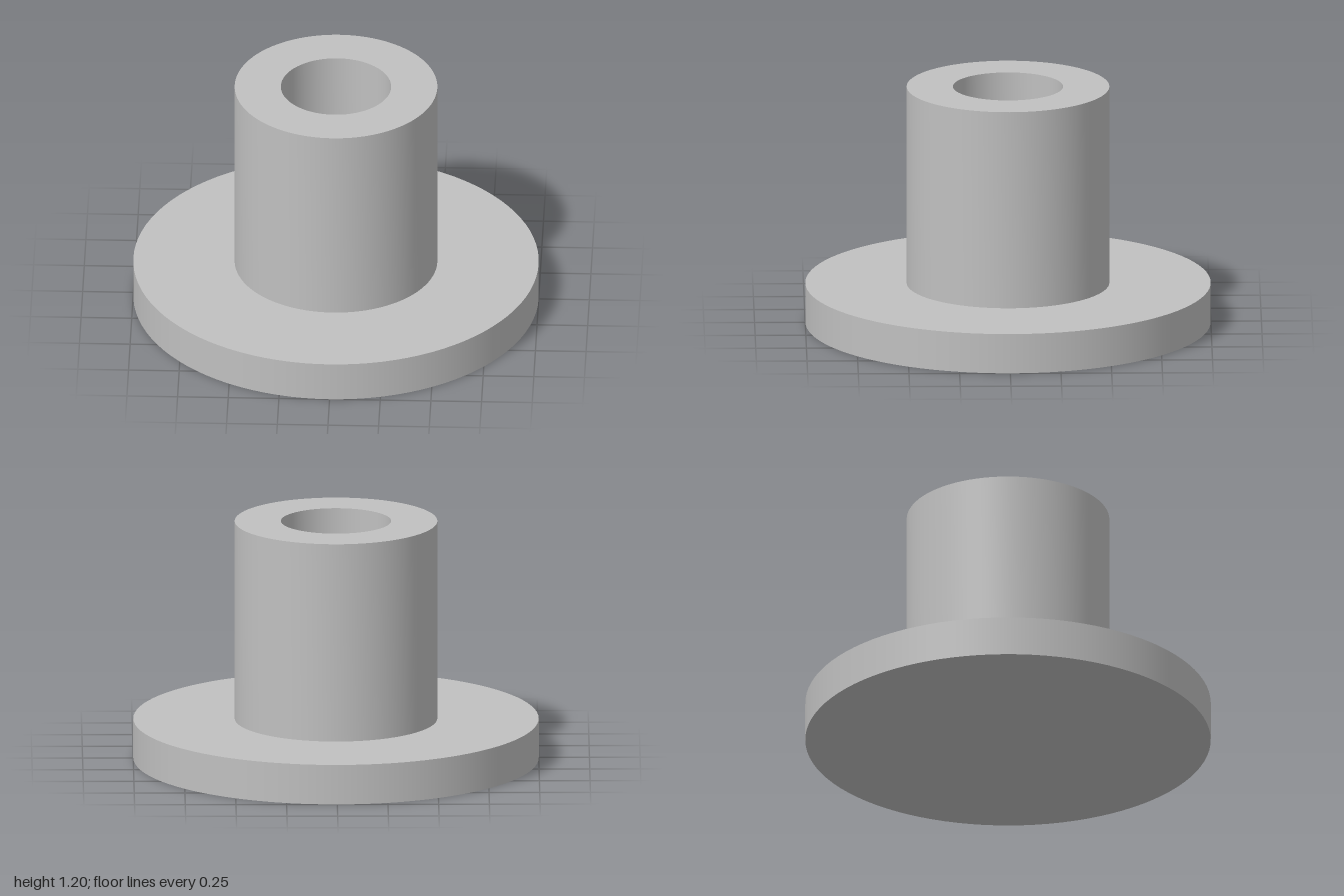
import * as THREE from 'three';
import { toCreasedNormals } from 'three/addons/utils/BufferGeometryUtils.js';

const SEGMENTS = 96;

export function createModel() {
  const model = new THREE.Group();
  model.name = 'flangedBushing';
  const metal = new THREE.MeshStandardMaterial({ color: 0xc0c0c0 });
  metal.name = 'grey metal';

  // Solid round flange; its top face is also the floor of the bore
  const flange = new THREE.Mesh(new THREE.CylinderGeometry(1, 1, 0.2, SEGMENTS), metal);
  flange.name = 'flange';
  flange.position.y = 0.1;

  // Hollow hub: outer wall, flat rim, inner wall
  const profile = [[0.5, 0.2], [0.5, 1.2], [0.272, 1.2], [0.272, 0.2]]
    .map(([r, y]) => new THREE.Vector2(r, y));
  const hub = new THREE.Mesh(
    toCreasedNormals(new THREE.LatheGeometry(profile, SEGMENTS), Math.PI / 6), metal);
  hub.name = 'hub';

  model.add(flange, hub);
  return model;
}
